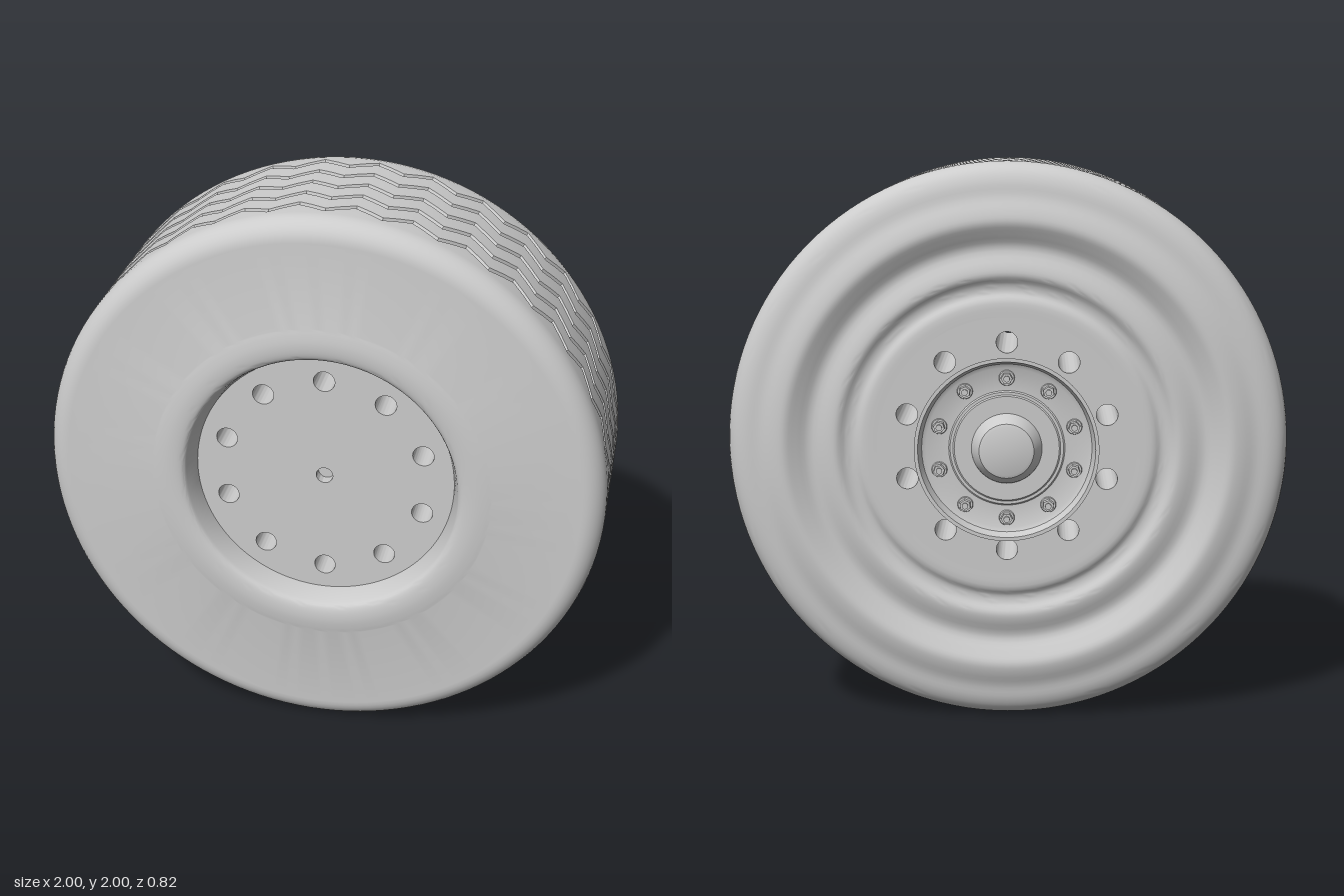
import * as THREE from 'three';
import { toCreasedNormals } from 'three/addons/utils/BufferGeometryUtils.js';

const material = new THREE.MeshStandardMaterial({ color: 0xcccccc });
const V = (r, z) => new THREE.Vector2(r, z);

function part(name, geometry, parent) {
  const mesh = new THREE.Mesh(geometry, material);
  mesh.name = name;
  parent.add(mesh);
  return mesh;
}

// Revolve [radius, z] points about the z axis, running from the back outwards to the front.
function revolve(points, segments, move) {
  const g = new THREE.LatheGeometry(points, segments);
  if (move) move(g.attributes.position);
  g.rotateX(Math.PI / 2);
  return toCreasedNormals(g, 0.5);
}

// Points round a ring, the first one at the top.
function ring(count, radius, fn) {
  for (let i = 0; i < count; i++) {
    const a = Math.PI / 2 + (i / count) * Math.PI * 2;
    fn(radius * Math.cos(a), radius * Math.sin(a), a);
  }
}

function tireProfile() {
  // Back face: rim lip, valley, bulging sidewall and rounded shoulder
  const back = new THREE.SplineCurve([
    V(0.46, -0.315), V(0.515, -0.314), V(0.545, -0.298), V(0.575, -0.3), V(0.605, -0.317),
    V(0.64, -0.313), V(0.7, -0.293), V(0.75, -0.315), V(0.79, -0.333), V(0.83, -0.327),
    V(0.88, -0.308), V(0.93, -0.3), V(0.967, -0.283), V(0.99, -0.255), V(1, -0.22),
  ]).getPoints(48);
  // Five grooves across the tread
  const tread = [];
  for (let k = -2; k <= 2; k++) {
    const c = 0.05 + k * 0.105;
    tread.push(V(1, c - 0.012), V(0.982, c - 0.006), V(0.982, c + 0.006), V(1, c + 0.012));
  }
  // Front shoulder, flat sidewall, raised lip and tapered opening
  const front = [];
  for (let i = 0; i <= 8; i++) {
    const a = (i / 8) * Math.PI / 2;
    front.push(V(0.92 + 0.08 * Math.cos(a), 0.317 + 0.08 * Math.sin(a)));
  }
  const lip = new THREE.SplineCurve([
    V(0.61, 0.397), V(0.59, 0.401), V(0.555, 0.405), V(0.52, 0.403), V(0.497, 0.395), V(0.488, 0.38),
  ]).getPoints(14);
  return [...back, ...tread, ...front, ...lip, V(0.466, 0.31), V(0.466, 0.3)];
}

// Bend the tread grooves into zigzags with 32 waves round the tire.
function zigzag(pos) {
  for (let i = 0; i < pos.count; i++) {
    const x = pos.getX(i), y = pos.getY(i), z = pos.getZ(i);
    if (Math.hypot(x, z) < 0.975 || y < -0.21 || y > 0.31) continue;
    const wave = (Math.asin(THREE.MathUtils.clamp(Math.cos(Math.atan2(x, z) * 32), -1, 1)) * 2) / Math.PI;
    pos.setY(i, y + wave * 0.026);
  }
}

export function createModel() {
  const model = new THREE.Group();
  model.name = 'wheel';
  const wheel = new THREE.Group();
  wheel.name = 'wheelAssembly';
  wheel.position.y = 1;
  model.add(wheel);

  part('tire', revolve(tireProfile(), 128, zigzag), wheel);

  // Rim disc with ten through holes and a centre bore
  const disc = new THREE.Shape().absarc(0, 0, 0.47, 0, Math.PI * 2);
  ring(10, 0.372, (x, y) => disc.holes.push(new THREE.Path().absarc(x, y, 0.038, 0, Math.PI * 2, true)));
  disc.holes.push(new THREE.Path().absarc(0, 0, 0.03, 0, Math.PI * 2, true));
  const discGeo = new THREE.ExtrudeGeometry(disc, { depth: 0.625, bevelEnabled: false, curveSegments: 32 });
  discGeo.translate(0, 0, -0.315);
  part('rimDisc', toCreasedNormals(discGeo, 0.5), wheel);

  // Floor of the centre bore
  const bore = part('boreFloor', new THREE.CylinderGeometry(0.031, 0.031, 0.02, 24), wheel);
  bore.rotation.x = Math.PI / 2;
  bore.position.z = 0.26;

  // Dished hub flange at the back
  part('hubFlange', revolve([
    V(0, -0.35), V(0.185, -0.35), V(0.19, -0.346), V(0.2, -0.346), V(0.205, -0.342), V(0.285, -0.342),
    V(0.3, -0.35), V(0.312, -0.39), V(0.325, -0.39), V(0.308, -0.335), V(0.308, -0.3),
  ], 64), wheel);

  // Rounded centre cap
  part('hubCap', revolve([
    V(0, -0.412), V(0.085, -0.411), V(0.096, -0.407), V(0.1, -0.4), V(0.122, -0.36), V(0.126, -0.345),
  ], 48), wheel);

  // Ten wheel nuts with studs
  ring(10, 0.25, (x, y, a) => {
    const nut = new THREE.Group();
    nut.name = 'wheelNut';
    nut.position.set(x, y, -0.342);
    nut.rotation.set(-Math.PI / 2, 0, 0);
    wheel.add(nut);
    part('nutWasher', new THREE.CylinderGeometry(0.026, 0.028, 0.008, 20), nut).position.y = 0.004;
    const hex = part('hexNut', toCreasedNormals(new THREE.CylinderGeometry(0.02, 0.022, 0.022, 6), 0.5), nut);
    hex.position.y = 0.017;
    hex.rotation.y = a;
    part('stud', new THREE.CylinderGeometry(0.011, 0.011, 0.012, 12), nut).position.y = 0.032;
  });

  return model;
}
